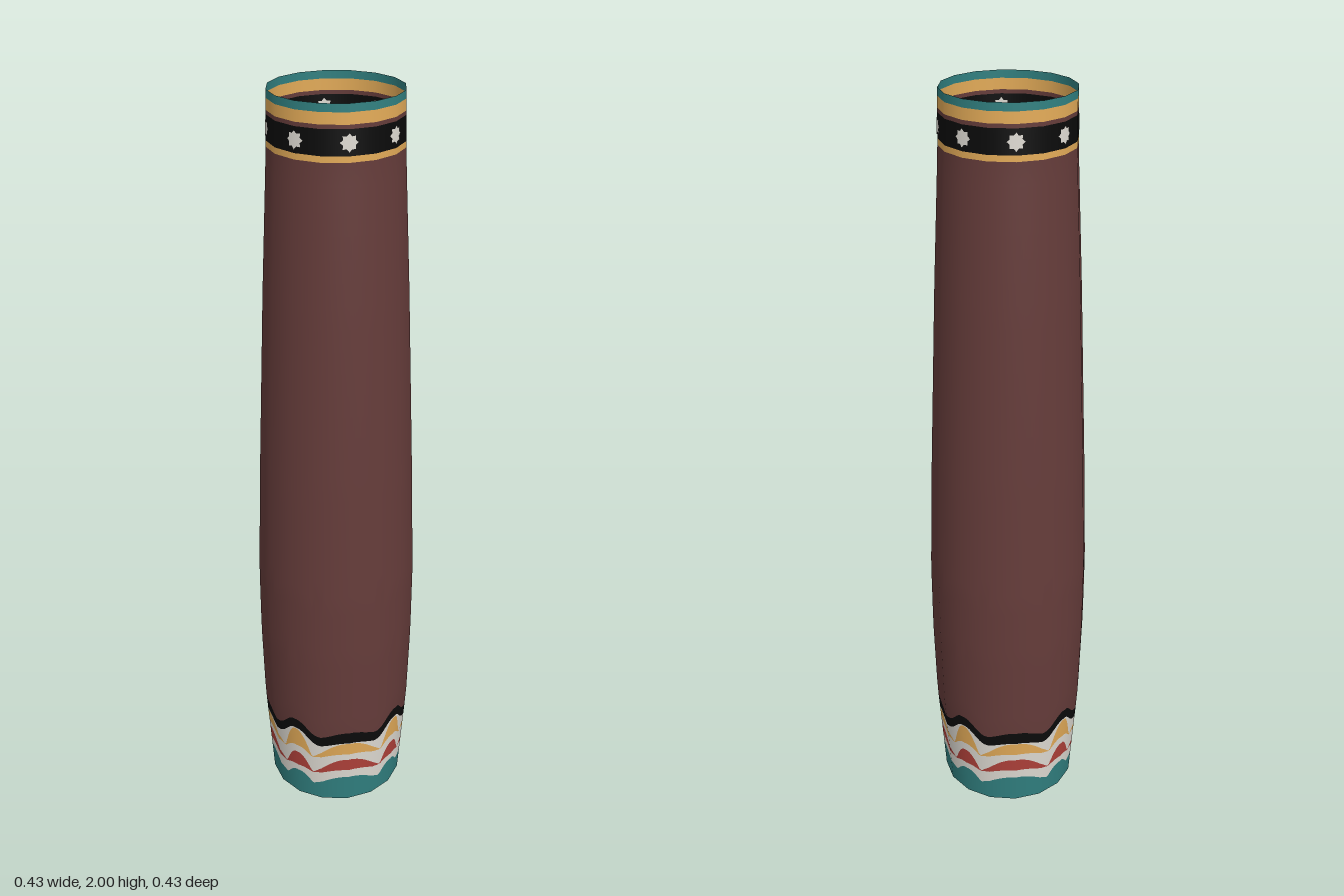
import * as THREE from 'three';

const SIDES = 16;
const mat = (name, color) => {
  const m = new THREE.MeshStandardMaterial({ color, side: THREE.DoubleSide });
  m.name = name;
  return m;
};

// Radius of the tube at its corners, by height
const PROFILE = [[0, 0.185], [0.28, 0.206], [0.5, 0.213], [0.7, 0.214], [1, 0.205], [1.5, 0.186], [1.85, 0.17], [2, 0.167]];
function profile(y) {
  let i = 0;
  while (i < PROFILE.length - 2 && y > PROFILE[i + 1][0]) i++;
  const [y0, r0] = PROFILE[i], [y1, r1] = PROFILE[i + 1];
  const slope = (r1 - r0) / (y1 - y0);
  return { r: r0 + (y - y0) * slope, slope };
}

// Point on the sixteen-sided wall, angle measured from the front
function wall(angle, y, offset = 0) {
  const step = (2 * Math.PI) / SIDES;
  const local = angle - Math.floor(angle / step + 1e-9) * step - step / 2;
  const r = (profile(y).r * Math.cos(step / 2)) / Math.cos(local) + offset;
  return [Math.sin(angle) * r, y, Math.cos(angle) * r];
}
function wallNormal(angle, y) {
  const s = profile(y).slope, l = Math.hypot(1, s);
  return [Math.sin(angle) / l, -s / l, Math.cos(angle) / l];
}

// Ring of wall between two edge curves
function band(name, material, low, high, rows = 2, cols = 192) {
  const pos = [], nor = [], idx = [];
  for (let j = 0; j <= rows; j++) {
    for (let i = 0; i <= cols; i++) {
      const a = (i / cols) * 2 * Math.PI;
      const y = THREE.MathUtils.lerp(low(a), high(a), j / rows);
      pos.push(...wall(a, y));
      nor.push(...wallNormal(a, y));
      if (j < rows && i < cols) {
        const p = j * (cols + 1) + i, q = p + cols + 1;
        idx.push(p, p + 1, q + 1, p, q + 1, q);
      }
    }
  }
  const g = new THREE.BufferGeometry();
  g.setAttribute('position', new THREE.Float32BufferAttribute(pos, 3));
  g.setAttribute('normal', new THREE.Float32BufferAttribute(nor, 3));
  g.setIndex(idx);
  const mesh = new THREE.Mesh(g, material);
  mesh.name = name;
  return mesh;
}

// Scalloped edge: a narrow peak every quarter turn, a wide hump between
function scallop(peak, valley, hump, valleyDeg, smooth = false) {
  return (angle) => {
    const d = THREE.MathUtils.radToDeg(angle) % 90;
    const a = Math.min(d, 90 - d);
    const t = a < valleyDeg ? 1 - a / valleyDeg : (a - valleyDeg) / (45 - valleyDeg);
    const top = a < valleyDeg ? peak : hump;
    const k = smooth ? (1 - Math.cos(Math.PI * t)) / 2 : Math.sin((Math.PI / 2) * t);
    return valley + (top - valley) * k;
  };
}

// Small eight-petalled flower laid on the wall
function flower(material, angle, offset) {
  const g = new THREE.CircleGeometry(1, 16);
  const p = g.attributes.position, n = g.attributes.normal;
  for (let i = 0; i < p.count; i++) {
    const size = i % 2 ? 0.022 : 0.016;
    const y = 1.911 + p.getY(i) * size;
    const a = angle + (p.getX(i) * size) / 0.168;
    p.setXYZ(i, ...wall(a, y, offset));
    n.setXYZ(i, ...wallNormal(a, y));
  }
  const mesh = new THREE.Mesh(g, material);
  mesh.name = 'flower';
  return mesh;
}

export function createModel() {
  const group = new THREE.Group();
  group.name = 'decoratedTube';
  const brown = mat('brown', 0x653c3a);
  const teal = mat('teal', 0x318080);
  const yellow = mat('ochre', 0xe3ab58);
  const red = mat('red', 0xb0413a);
  const white = mat('white', 0xe0dcd4);
  const black = mat('black', 0x0b0b0b);
  const flat = (y) => () => y;

  // Scalloped border around the foot, from the bottom upwards
  const edges = [
    flat(0),
    scallop(0.085, 0.05, 0.083, 14),
    scallop(0.105, 0.092, 0.11, 14),
    scallop(0.155, 0.092, 0.15, 14),
    scallop(0.18, 0.15, 0.17, 14),
    scallop(0.243, 0.15, 0.21, 14),
    scallop(0.246, 0.2, 0.212, 20, true),
    scallop(0.278, 0.232, 0.25, 20, true),
  ];
  const foot = [
    ['footBand', teal], ['lowerWhiteScallop', white], ['redScallop', red], ['middleWhiteScallop', white],
    ['ochreScallop', yellow], ['upperWhiteScallop', white], ['blackScallop', black],
  ];
  foot.forEach(([name, m], i) => group.add(band(name, m, edges[i], edges[i + 1])));

  // Plain shaft
  group.add(band('shaft', brown, edges[7], flat(1.865), 28));

  // Straight bands at the rim
  const rim = [
    ['lowerOchreBand', yellow, 1.865, 1.88], ['blackBand', black, 1.88, 1.942], ['brownBand', brown, 1.942, 1.952],
    ['upperOchreBand', yellow, 1.952, 1.98], ['rimBand', teal, 1.98, 2],
  ];
  for (const [name, m, lo, hi] of rim) group.add(band(name, m, flat(lo), flat(hi), 1, 64));

  // Flowers on the black band, outside and inside
  for (let i = 0; i < 8; i++) {
    for (const offset of [0.0015, -0.0015]) group.add(flower(white, (i * Math.PI) / 4, offset));
  }
  return group;
}
